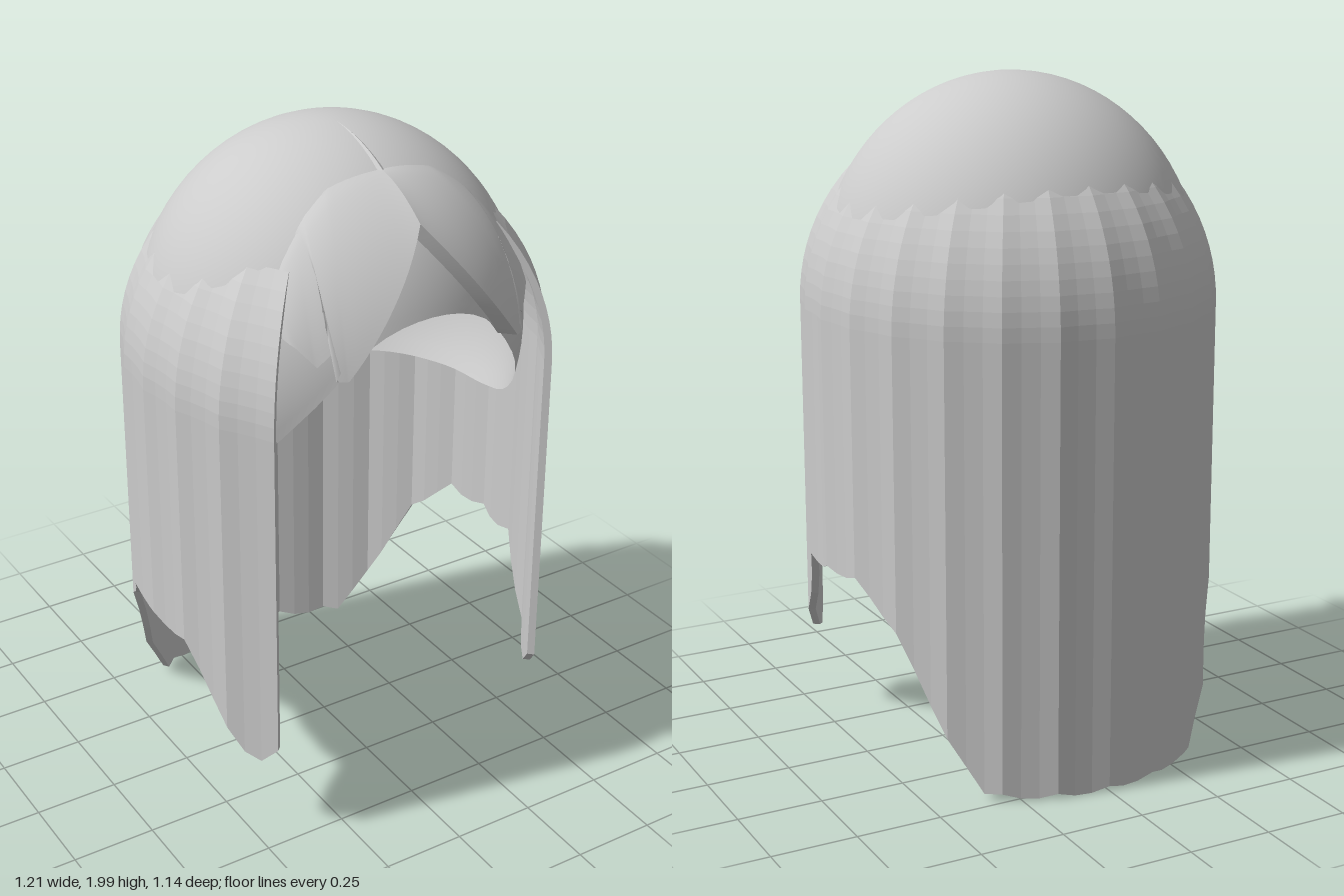
import * as THREE from 'three';
import { mergeVertices } from 'three/addons/utils/BufferGeometryUtils.js';

// Skull ellipsoid shared by the cap, fringe and parting
const C = new THREE.Vector3(0, 1.4, 0.03);
const R = new THREE.Vector3(0.56, 0.6, 0.54);

// Piecewise linear lookup in [[t, value], ...] with ascending t
function lookup(table, t) {
  if (t <= table[0][0]) return table[0][1];
  for (let i = 1; i < table.length; i++) {
    const [t1, b] = table[i], [t0, a] = table[i - 1];
    if (t <= t1) return a + (b - a) * (t - t0) / (t1 - t0);
  }
  return table[table.length - 1][1];
}

// Surface from point(i, j): i runs sideways, j runs downwards
function grid(nu, nv, point, { flat = false, flip = false } = {}) {
  const pos = [], idx = [];
  for (let j = 0; j <= nv; j++)
    for (let i = 0; i <= nu; i++) pos.push(...point(i, j).toArray());
  for (let j = 0; j < nv; j++)
    for (let i = 0; i < nu; i++) {
      const a = j * (nu + 1) + i, b = a + 1, c = a + nu + 1, d = c + 1;
      if (flip) idx.push(a, b, c, b, d, c);
      else idx.push(a, c, b, b, c, d);
    }
  let g = new THREE.BufferGeometry();
  g.setAttribute('position', new THREE.Float32BufferAttribute(pos, 3));
  g.setIndex(idx);
  g = flat ? g.toNonIndexed() : mergeVertices(g, 1e-5);
  g.computeVertexNormals();
  return g;
}

// Point on the skull scaled by s, from a unit direction
const onSkull = (dir, s) => dir.clone().multiplyScalar(s).multiply(R).add(C);

// Unit directions from front-plane (x, y) or plan (x, z) positions
function dirFront(x, y, s) {
  const a = x / R.x, b = (y - C.y) / R.y;
  return new THREE.Vector3(a, b, Math.sqrt(Math.max(0, s * s - a * a - b * b))).normalize();
}
function dirTop(x, z) {
  const a = x / R.x, c = (z - C.z) / R.z;
  return new THREE.Vector3(a, Math.sqrt(Math.max(0, 1 - a * a - c * c)), c).normalize();
}

export function createModel() {
  const group = new THREE.Group();
  const grey = new THREE.MeshStandardMaterial({ color: 0xcccccc, side: THREE.DoubleSide });
  grey.name = 'hair grey';
  const add = (name, geometry) => {
    const m = new THREE.Mesh(geometry, grey);
    m.name = name;
    group.add(m);
  };

  // Smooth cap with an arched opening over the face
  const hem = new THREE.CatmullRomCurve3([
    [-20, 1.545], [0, 1.6], [20, 1.545], [35, 1.39], [56, 1.18], [75, 1.11],
    [100, 1.09], [130, 1.08], [180, 1.05],
  ].map(([a, y]) => new THREE.Vector3(a, y, 0))).getPoints(160).map(p => [p.x, p.y]);
  add('cap', grid(72, 28, (i, j) => {
    const deg = i * 5, phi = deg * Math.PI / 180;
    const edge = Math.acos((lookup(hem, deg > 180 ? 360 - deg : deg) - C.y) / R.y);
    const t = edge * j / 28;
    return onSkull(new THREE.Vector3(
      Math.sin(t) * Math.sin(phi), Math.cos(t), Math.sin(t) * Math.cos(phi)), 1);
  }));

  // Long hair: a thin wall of strands round the back and sides
  const bottom = [
    [-0.58, 0.015], [-0.46, 0.025], [-0.43, 0.1], [-0.34, 0.31], [-0.28, 0.46],
    [-0.2, 0.54], [-0.14, 0.6], [0, 0.595], [0.1, 0.585], [0.2, 0.58], [0.25, 0.49],
    [0.36, 0.32], [0.4, 0.28], [0.45, 0.28], [0.49, 0.33],
  ];
  const N = 54, ROWS = 14, TOP = 1.74, SHOULDER = 1.33, WALL = 0.022;
  const wall = (i, row, inset) => {
    const phi = (45 + 270 * i / N) * Math.PI / 180;
    const front = Math.max(0, Math.cos(phi)) / Math.SQRT1_2;
    const wave = Math.cos(i * Math.PI * 2 / 3);
    const base = 0.597 + 0.006 * wave + 0.04 * front ** 2;
    const low = lookup(bottom, C.z + base * Math.cos(phi)) + 0.01 * wave;
    const y = row < 10 ? TOP - (TOP - SHOULDER) * row / 10
      : SHOULDER + (low - SHOULDER) * (row - 10) / (ROWS - 10);
    const f = Math.sqrt(1 - (Math.max(0, y - SHOULDER) / 0.6) ** 2);
    // the lower rim draws in slightly on the last row
    const r = base * f - inset;
    return new THREE.Vector3(r * Math.sin(phi), Math.max(0.003, y), C.z + r * Math.cos(phi));
  };
  add('long hair', grid(N, ROWS * 2 + 1, (i, j) =>
    j <= ROWS ? wall(i, j, 0) : wall(i, ROWS * 2 + 1 - j, WALL), { flat: true }));
  for (const [name, i] of [['left front edge', 0], ['right front edge', N]])
    add(name, grid(1, ROWS, (k, j) => wall(i, j, k ? 0 : WALL), { flat: true, flip: i > 0 }));

  // Fringe: two overlapping swept locks on each side of the parting
  const locks = [
    {
      name: 'inner fringe', lift: 1.1,
      roots: [[0, 0.28], [0.08, 0.275], [0.16, 0.27], [0.24, 0.29], [0.3, 0.31]],
      ends: [[0, 1.84], [0.14, 1.66], [0.27, 1.49], [0.3, 1.49], [0.24, 1.61]],
    },
    {
      name: 'outer fringe', lift: 1.065,
      roots: [[0.1, 0.275], [0.17, 0.27], [0.26, 0.3], [0.35, 0.33], [0.43, 0.33]],
      ends: [[0.16, 1.7], [0.25, 1.6], [0.33, 1.52], [0.37, 1.57], [0.43, 1.62]],
    },
  ];
  const U = 24, V = 14;
  for (const { name, lift, roots, ends } of locks)
    for (const side of [1, -1]) {
      const at = (list, u, k) => lookup(list.map((p, n) => [n / 4, p[k]]), u);
      const lock = (i, j) => {
        const u = i / U, v = Math.min(1, j / (V - 1));
        const a = dirTop(at(roots, u, 0), at(roots, u, 1));
        const b = dirFront(at(ends, u, 0), at(ends, u, 1), lift);
        const fade = Math.min(1, (1 - u) * 5);
        // the last row folds back onto the cap to close the lock
        const s = j === V ? 0.99 : 0.997 + (lift - 0.997) * fade * Math.pow(v, 0.75);
        const p = onSkull(a.lerp(b, v).normalize(), s);
        p.x *= side;
        return p;
      };
      const label = (side > 0 ? 'left ' : 'right ') + name;
      add(label, grid(U, V - 1, lock, { flip: side < 0 }));
      add(label + ' edge', grid(U, 1, (i, j) => lock(i, V - 1 + j), { flip: side < 0 }));
    }

  // Parting: a narrow crease widening towards the fringe
  add('parting', grid(2, 10, (i, j) => {
    const t = j / 10, x = (i - 1) * 0.011 * t;
    return onSkull(dirTop(x, 0.06 + 0.23 * t), i === 1 ? 1 + 0.012 * t : 0.999);
  }, { flat: true }));

  return group;
}
